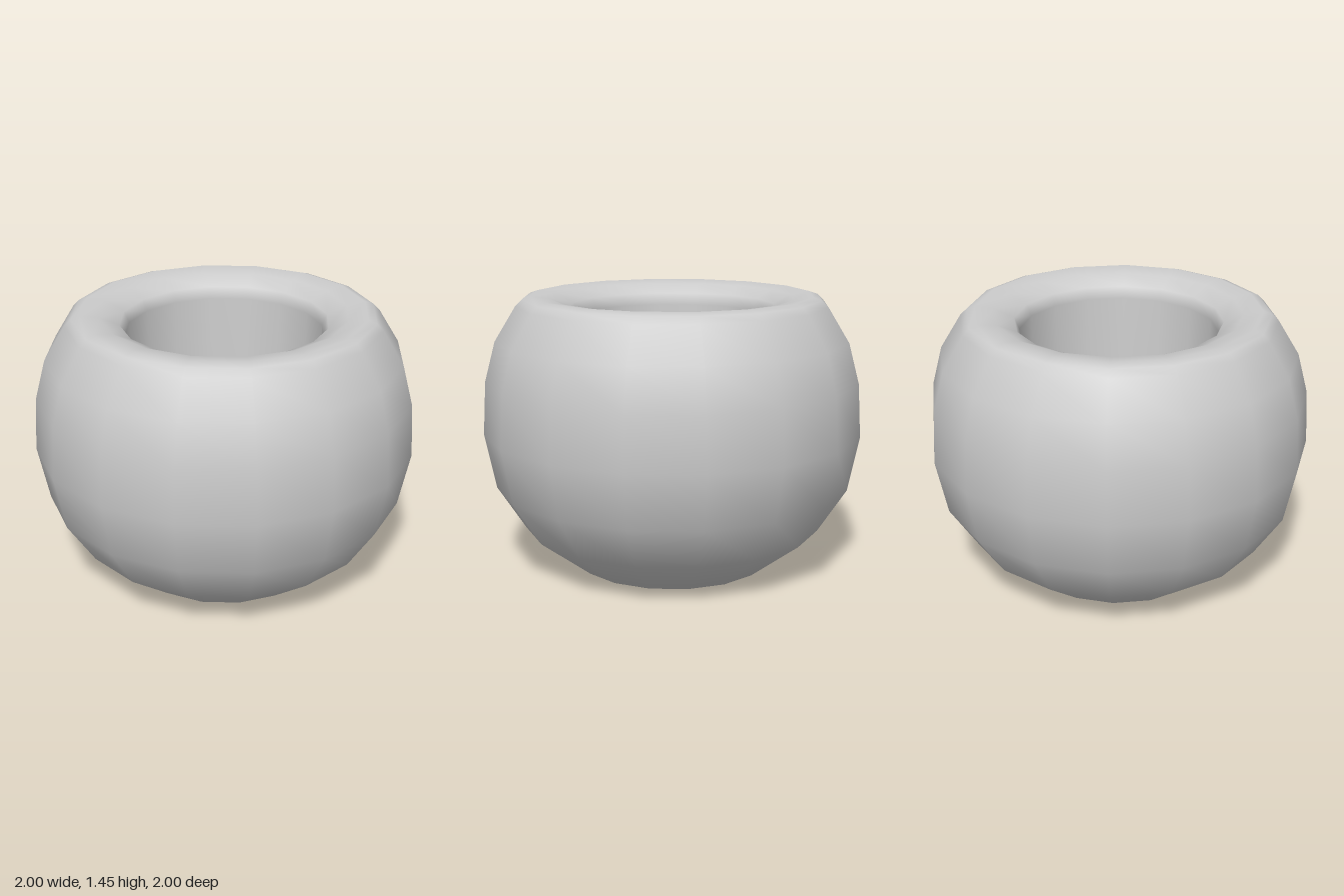
import * as THREE from 'three';

export function createModel() {
  const group = new THREE.Group();
  group.name = 'bowl';

  // One closed profile: underside, outer wall, rolled rim, then the hollow
  const profile = [
    // underside and outer wall
    [0, 0], [0.51, 0], [0.79, 0.21], [0.94, 0.44], [1, 0.73],
    [0.985, 1.01], [0.93, 1.22], [0.82, 1.4],
    // rounded rim
    [0.785, 1.435], [0.74, 1.45], [0.64, 1.435], [0.54, 1.39], [0.515, 1.33],
    // inner wall and floor
    [0.505, 0.8], [0.48, 0.58], [0.38, 0.4], [0.2, 0.31], [0, 0.29],
  ].map(([r, y]) => new THREE.Vector2(r, y));

  const pot = new THREE.Mesh(
    new THREE.LatheGeometry(profile, 16),
    new THREE.MeshStandardMaterial({ color: 0xcccccc })
  );
  pot.name = 'roundPot';
  group.add(pot);
  return group;
}
